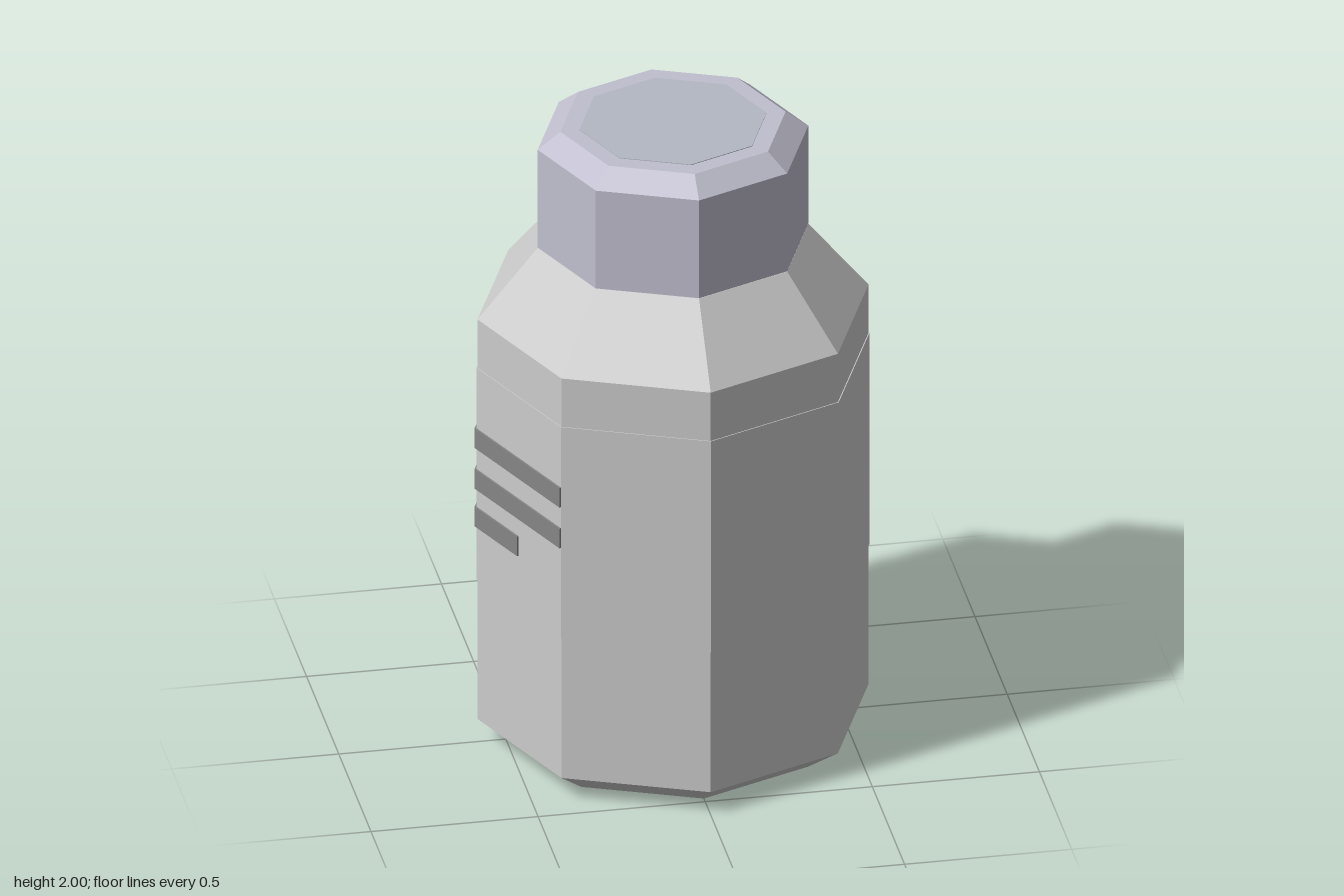
import * as THREE from 'three';

const SIDES = 8;
const material = (color) => new THREE.MeshStandardMaterial({ color, flatShading: true });

// Octagonal solid turned from a [radius, height] profile running bottom to top
function turned(name, profile, mat) {
  const points = profile.map(([r, y]) => new THREE.Vector2(r, y));
  const mesh = new THREE.Mesh(new THREE.LatheGeometry(points, SIDES), mat);
  mesh.name = name;
  return mesh;
}

// Point on the octagon's outline; u counts faces from the back left corner
function outlinePoint(u, radius) {
  const corner = (k) => {
    const a = -Math.PI / 4 - k * Math.PI / 4;
    return new THREE.Vector2(Math.cos(a) * radius, -Math.sin(a) * radius);
  };
  const k = Math.floor(u);
  return corner(k).lerp(corner(k + 1), u - k);
}

// Thin raised strip that follows the octagon from u0 to u1
function stripe(u0, u1, y, height, mat) {
  const stops = [u0];
  for (let k = Math.floor(u0) + 1; k < u1; k++) stops.push(k);
  stops.push(u1);
  const outer = stops.map((u) => outlinePoint(u, 0.594));
  const inner = stops.map((u) => outlinePoint(u, 0.58)).reverse();
  const geometry = new THREE.ExtrudeGeometry(new THREE.Shape([...outer, ...inner]), {
    depth: height, bevelEnabled: false,
  });
  geometry.rotateX(-Math.PI / 2);
  geometry.translate(0, y, 0);
  const mesh = new THREE.Mesh(geometry, mat);
  mesh.name = 'stripe';
  return mesh;
}

export function createModel() {
  const model = new THREE.Group();
  model.name = 'bottle';
  const grey = material(0xcccccc);
  const dark = material(0x868686);

  // Body with a hollowed base, bevelled foot and sloping shoulder
  model.add(turned('body', [
    [0, 0.05], [0.2, 0.05], [0.48, 0], [0.585, 0.075],
    [0.585, 1.4], [0.405, 1.62], [0, 1.62],
  ], grey));

  // Thin label wrapped around the body
  model.add(turned('label', [
    [0.583, 0.54], [0.588, 0.54], [0.588, 1.24], [0.583, 1.24],
  ], grey));

  // Cap with a bevelled rim and a tinted top panel
  model.add(turned('cap', [
    [0, 1.621], [0.405, 1.621], [0.405, 1.945], [0.337, 1.998], [0, 1.998],
  ], material(0xc0bece)));
  model.add(turned('capPanel', [
    [0.28, 1.996], [0.28, 2], [0, 2],
  ], material(0xb3b8c4)));

  // Rows of broken stripes around four faces at the back
  const stripes = new THREE.Group();
  stripes.name = 'stripes';
  const rows = [
    { y: 0.975, spans: [[0, 1], [1.23, 2.23], [2.43, 4]] },
    { y: 0.84, spans: [[0, 1.44], [1.63, 2.55], [2.77, 4]] },
    { y: 0.715, spans: [[0.31, 3.5]] },
  ];
  for (const { y, spans } of rows) {
    for (const [u0, u1] of spans) stripes.add(stripe(u0, u1, y, 0.065, dark));
  }
  model.add(stripes);

  return model;
}
